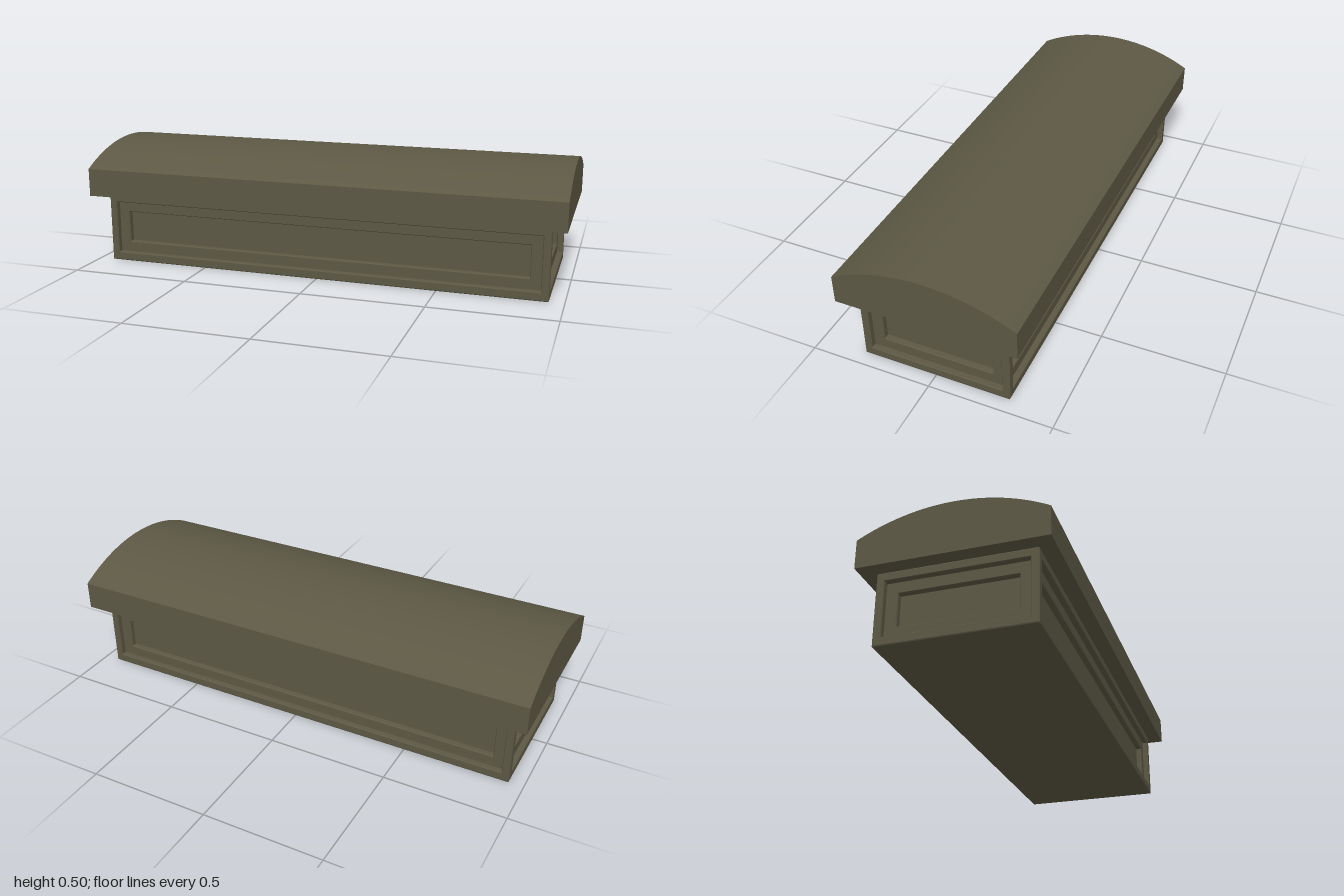
import * as THREE from 'three';
import { toCreasedNormals } from 'three/addons/utils/BufferGeometryUtils.js';

const BODY = { x: 0.94, z: 0.306, top: 0.294 };
const LID = { x: 1, z: 0.366, bottom: 0.293, eave: 0.41, crown: 0.503 };

// One side of the chest: nested rectangles stepping inwards to a sunken panel, facing +z
function panelledWall(halfWidth) {
  const b = 0.004;
  // [inset at the sides, bottom height, top height, depth behind the face]
  const steps = [
    [b / 2, 0, BODY.top, b / 2],
    [b, b, BODY.top - b, 0],
    [0.029, 0.033, 0.262, 0],
    [0.032, 0.036, 0.259, b],
    [0.032, 0.036, 0.259, 0.024],
    [0.075, 0.078, 0.216, 0.024],
    [0.078, 0.081, 0.213, 0.024 + b],
    [0.078, 0.081, 0.213, 0.048],
  ];
  const loops = steps.map(([inset, low, high, depth]) => {
    const w = halfWidth - inset;
    return [[-w, low, -depth], [w, low, -depth], [w, high, -depth], [-w, high, -depth]];
  });
  const positions = [];
  const quad = (p, q, r, s) => positions.push(...p, ...q, ...r, ...p, ...r, ...s);
  for (let i = 0; i < loops.length - 1; i++) {
    for (let k = 0; k < 4; k++) {
      const n = (k + 1) % 4;
      quad(loops[i][k], loops[i][n], loops[i + 1][n], loops[i + 1][k]);
    }
  }
  quad(...loops[loops.length - 1]);
  const geometry = new THREE.BufferGeometry();
  geometry.setAttribute('position', new THREE.Float32BufferAttribute(positions, 3));
  geometry.computeVertexNormals();
  return geometry;
}

// Barrel-topped lid: an arched end profile drawn out along x
function archedLid() {
  const rise = LID.crown - LID.eave;
  const radius = (LID.z ** 2 + rise ** 2) / (2 * rise);
  const half = Math.asin(LID.z / radius);
  const shape = new THREE.Shape();
  shape.moveTo(-LID.z, LID.bottom);
  shape.lineTo(LID.z, LID.bottom);
  shape.lineTo(LID.z, LID.eave);
  shape.absarc(0, LID.crown - radius, radius, Math.PI / 2 - half, Math.PI / 2 + half, false);
  shape.closePath();
  const geometry = new THREE.ExtrudeGeometry(shape, {
    depth: LID.x * 2, bevelEnabled: false, curveSegments: 28,
  });
  geometry.translate(0, 0, -LID.x);
  geometry.rotateY(Math.PI / 2);
  return toCreasedNormals(geometry, 0.5);
}

export function createModel() {
  const model = new THREE.Group();
  model.name = 'chest';
  const olive = new THREE.MeshStandardMaterial({ color: 0x5c5844 });
  olive.name = 'dull olive';

  const add = (name, geometry, parent = model) => {
    const mesh = new THREE.Mesh(geometry, olive);
    mesh.name = name;
    parent.add(mesh);
    return mesh;
  };

  // Body: four panelled walls around a floor
  const body = new THREE.Group();
  body.name = 'body';
  model.add(body);
  const names = ['frontWall', 'leftWall', 'backWall', 'rightWall'];
  names.forEach((name, i) => {
    const isEnd = i % 2 === 1;
    const geometry = panelledWall(isEnd ? BODY.z : BODY.x);
    geometry.translate(0, 0, isEnd ? BODY.x : BODY.z);
    add(name, geometry, body).rotation.y = i * Math.PI / 2;
  });
  const floor = new THREE.PlaneGeometry(BODY.x * 2 - 0.004, BODY.z * 2 - 0.004);
  add('floor', floor.rotateX(Math.PI / 2), body);

  // Lid overhanging the body on all sides
  add('lid', archedLid());
  return model;
}
